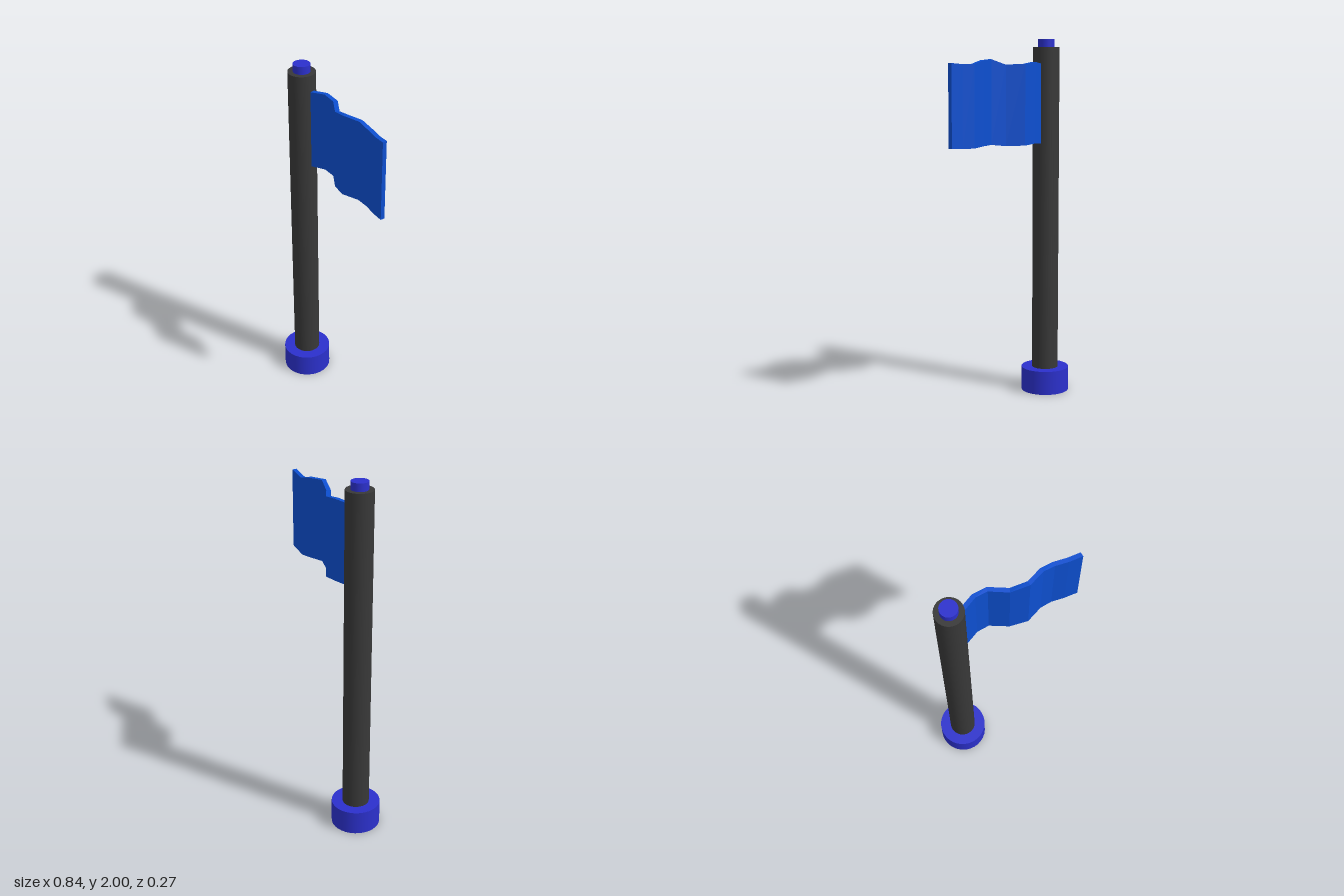
import * as THREE from 'three';

const POLE_X = -0.288;
const navy = new THREE.MeshStandardMaterial({ color: 0x2b30cc });
const dark = new THREE.MeshStandardMaterial({ color: 0x383838 });
const cloth = new THREE.MeshStandardMaterial({ color: 0x0d4fd0, flatShading: true });

// Upright cylinder on the pole axis, from y0 to y1
function post(name, radius, y0, y1, material) {
  const mesh = new THREE.Mesh(new THREE.CylinderGeometry(radius, radius, y1 - y0, 32), material);
  mesh.name = name;
  mesh.position.set(POLE_X, (y0 + y1) / 2, 0);
  return mesh;
}

// Thick waving cloth lofted through vertical stations: x, z, bottom, top
function flagGeometry() {
  const half = 0.012;
  const stations = [
    [-0.27, 0.008, 1.425, 1.862],
    [-0.22, -0.01, 1.425, 1.866],
    [-0.135, -0.041, 1.432, 1.875],
    [-0.06, -0.042, 1.425, 1.864],
    [0.03, 0.016, 1.424, 1.86],
    [0.12, 0.042, 1.434, 1.888],
    [0.21, 0.012, 1.433, 1.882],
    [0.28, 0.009, 1.425, 1.863],
    [0.35, 0.025, 1.425, 1.862],
    [0.42, 0.036, 1.428, 1.867],
  ];
  const rings = stations.map(([x, z, low, high], i) => {
    // Offset both faces along the mitred normal of the path
    const a = stations[Math.max(i - 1, 0)];
    const b = stations[Math.min(i + 1, stations.length - 1)];
    const end = i === stations.length - 1;
    const n = new THREE.Vector2(a[1] - b[1], b[0] - a[0]).normalize().multiplyScalar(half);
    if (end) n.set(0, half);
    return [
      [x + n.x, low, z + n.y], [x + n.x, high, z + n.y],
      [x - n.x, high, z - n.y], [x - n.x, low, z - n.y],
    ];
  });
  const pos = [];
  const quad = (a, b, c, d) => pos.push(...a, ...b, ...c, ...a, ...c, ...d);
  for (let i = 0; i < rings.length - 1; i++) {
    for (let k = 0; k < 4; k++) {
      const m = (k + 1) % 4;
      quad(rings[i][k], rings[i + 1][k], rings[i + 1][m], rings[i][m]);
    }
  }
  const first = rings[0], last = rings[rings.length - 1];
  quad(first[0], first[1], first[2], first[3]);
  quad(last[0], last[3], last[2], last[1]);
  const geometry = new THREE.BufferGeometry();
  geometry.setAttribute('position', new THREE.Float32BufferAttribute(pos, 3));
  geometry.computeVertexNormals();
  return geometry;
}

export function createModel() {
  const group = new THREE.Group();
  group.name = 'flagpole';

  // Base, pole and top cap
  group.add(post('base', 0.135, 0, 0.135, navy));
  group.add(post('pole', 0.074, 0.1, 1.957, dark));
  group.add(post('topCap', 0.046, 1.9, 2, navy));

  // Flag, its inner end buried in the pole
  const flag = new THREE.Mesh(flagGeometry(), cloth);
  flag.name = 'flag';
  group.add(flag);
  return group;
}
